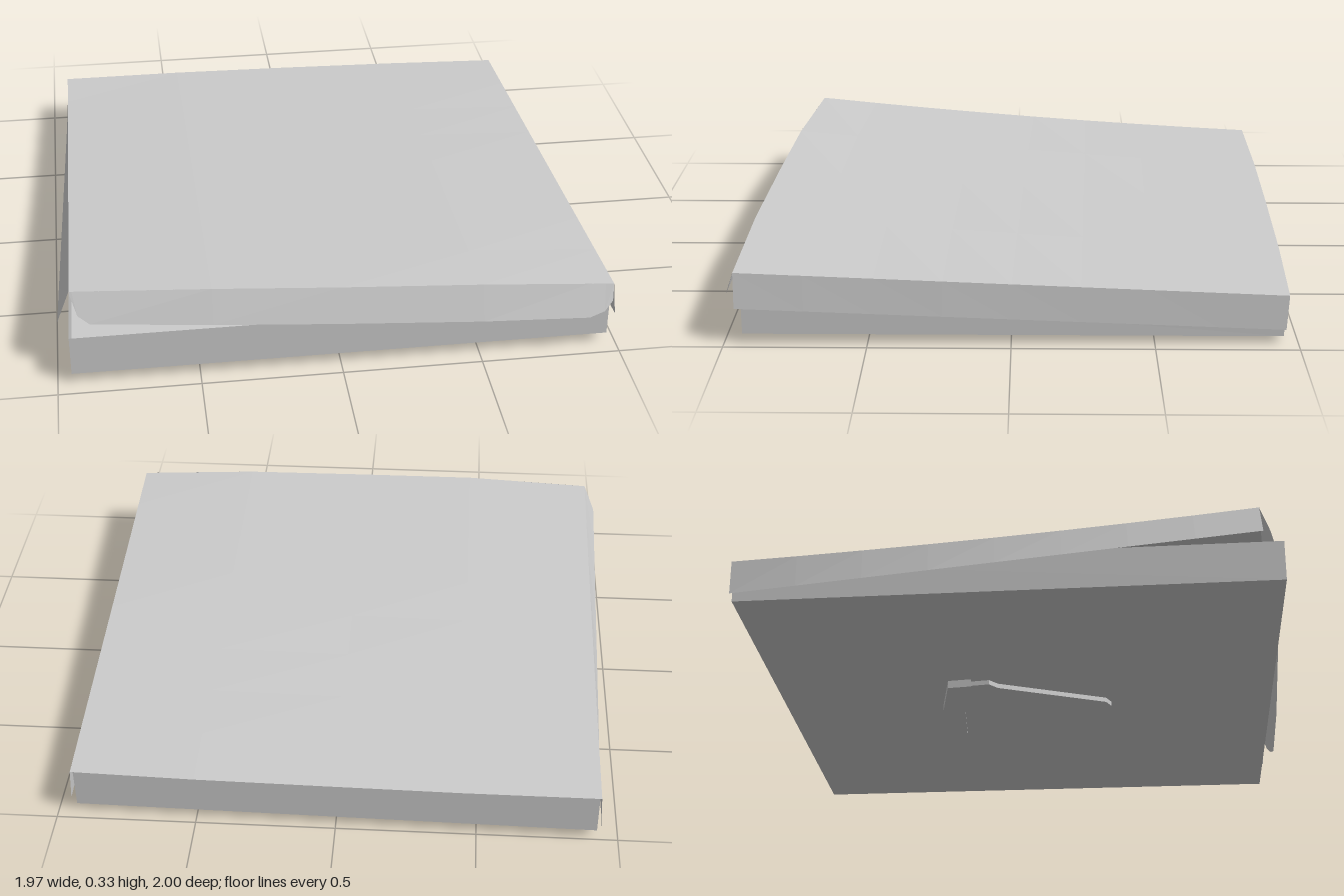
import * as THREE from 'three';

const card = new THREE.MeshStandardMaterial({ color: 0xcccccc, side: THREE.DoubleSide, flatShading: true });
const V = (x, y, z) => new THREE.Vector3(x, y, z);

// Thin sheet lofted through rows of points (all rows the same length)
function sheet(name, rows) {
  const n = rows[0].length;
  const index = [];
  for (let r = 0; r < rows.length - 1; r++) {
    for (let c = 0; c < n - 1; c++) {
      const a = r * n + c, b = a + n;
      index.push(a, a + 1, b, a + 1, b + 1, b);
    }
  }
  const geo = new THREE.BufferGeometry().setFromPoints(rows.flat());
  geo.setIndex(index);
  geo.computeVertexNormals();
  const mesh = new THREE.Mesh(geo, card);
  mesh.name = name;
  return mesh;
}

// Flat layer of the slice: outline in x,z extruded upwards from y0 to y1
function layer(name, outline, y0, y1) {
  const shape = new THREE.Shape(outline.map(([x, z]) => new THREE.Vector2(x, -z)));
  const geo = new THREE.ExtrudeGeometry(shape, { depth: y1 - y0, bevelEnabled: false });
  geo.rotateX(-Math.PI / 2).translate(0, y0, 0);
  const mesh = new THREE.Mesh(geo, card);
  mesh.name = name;
  return mesh;
}

export function createModel() {
  const box = new THREE.Group();
  box.name = 'pizzaBox';

  // Tray: warped floor and four upright walls
  const tray = new THREE.Group();
  tray.name = 'tray';
  const low = [V(-0.95, 0.037, 0.935), V(0.968, 0.037, 0.935), V(0.935, 0.023, -0.95), V(-0.925, 0.034, -0.99)];
  const high = [V(-0.95, 0.188, 0.935), V(0.968, 0.188, 0.935), V(0.938, 0.175, -0.95), V(-0.925, 0.183, -0.99)];
  tray.add(sheet('trayFloor', [[low[0], low[1]], [low[3], low[2]]]));
  ['frontWall', 'rightSideWall', 'backWall', 'leftSideWall'].forEach((name, i) => {
    const j = (i + 1) % 4;
    tray.add(sheet(name, [[low[i], low[j]], [high[i], high[j]]]));
  });
  box.add(tray);

  // Lid: warped panel, raised at the front and sagging along one side
  const lid = new THREE.Group();
  lid.name = 'lid';
  const front = [V(-0.94, 0.33, 0.857), V(-0.45, 0.328, 0.9), V(0, 0.312, 0.925), V(0.5, 0.295, 0.947), V(0.97, 0.265, 0.957)];
  const back = [V(-0.93, 0.19, -1), V(-0.45, 0.19, -1), V(0, 0.188, -0.992), V(0.5, 0.184, -0.98), V(0.945, 0.18, -0.962)];
  const steps = 8;
  const top = [];
  for (let r = 0; r <= steps; r++) {
    const s = r / steps;
    top.push(back.map((p, i) => {
      const q = p.clone().lerp(front[i], s);
      q.y -= 0.048 * s * (1 - s) * (1 - i / 4);
      return q;
    }));
  }
  lid.add(sheet('lidPanel', top));

  // Lid side flaps, splaying outwards towards the front
  const sideFlap = (name, column, rear, fore) => {
    const edge = top.map(row => row[column]);
    lid.add(sheet(name, [edge, edge.map((p, i) => rear.clone().lerp(fore, i / steps))]));
  };
  sideFlap('lidLeftFlap', 4, V(0.952, 0.055, -0.955), V(0.984, 0.137, 0.957));
  sideFlap('lidRightFlap', 0, V(-0.937, 0.06, -0.998), V(-0.987, 0.21, 0.863));

  // Lid front flap with rounded lower corners
  const flapTop = [front[0], V(-0.93, 0.33, 0.858), V(-0.88, 0.33, 0.862), ...front.slice(1, 4),
    V(0.88, 0.271, 0.955), V(0.94, 0.267, 0.956), front[4]];
  const flapLow = [V(-0.939, 0.322, 0.86), V(-0.915, 0.25, 0.893), V(-0.875, 0.223, 0.908), V(-0.45, 0.207, 0.945),
    V(0, 0.187, 0.968), V(0.5, 0.167, 0.99), V(0.88, 0.155, 0.998), V(0.935, 0.172, 0.99), V(0.966, 0.205, 0.975)];
  lid.add(sheet('lidFrontFlap', [flapTop, flapLow]));
  box.add(lid);

  // Slice stuck under the tray: thin base, topping and crust
  const slice = new THREE.Group();
  slice.name = 'slice';
  slice.add(layer('sliceBase', [[0, 0.31], [0.05, 0.27], [0.14, 0.04], [0.17, 0.02], [0.235, -0.2], [0.21, -0.27],
    [0.235, -0.36], [0.18, -0.37], [0, -0.35], [-0.215, -0.31], [-0.235, -0.15], [-0.2, -0.12], [-0.04, 0.29]], 0.004, 0.022));
  slice.add(layer('sliceTopping', [[0.01, 0.18], [0.12, 0.02], [0.18, -0.2], [0.17, -0.29], [-0.17, -0.26], [-0.17, -0.14]], 0.02, 0.036));
  slice.add(layer('sliceCrust', [[0.24, -0.28], [0.24, -0.36], [0.18, -0.372], [0, -0.352], [-0.22, -0.31], [-0.23, -0.22], [0, -0.265]], 0, 0.03));
  box.add(slice);

  return box;
}
